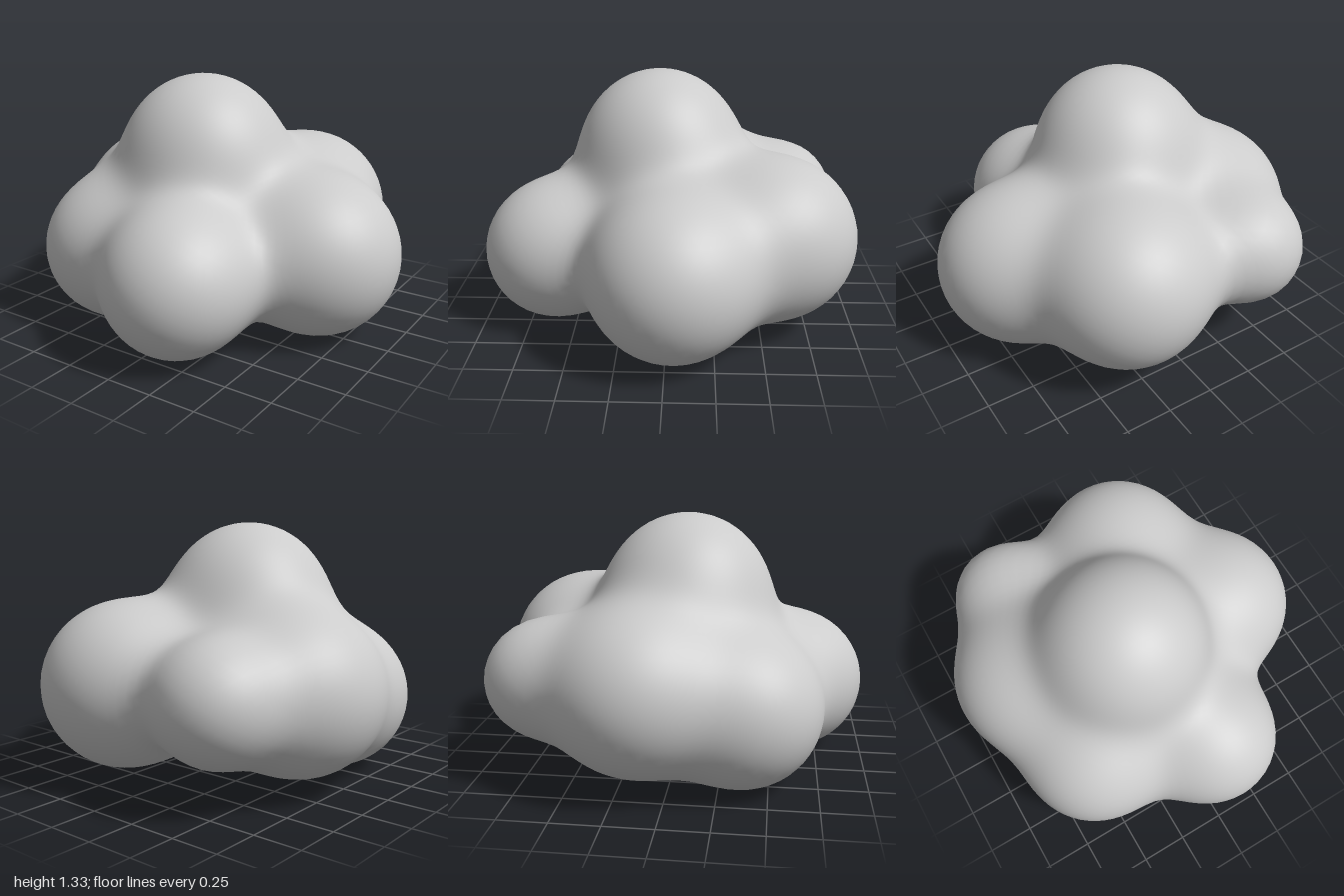
import * as THREE from 'three';
import { mergeVertices } from 'three/addons/utils/BufferGeometryUtils.js';

// Puffs of the cloud: x, y, z, radius
const PUFFS = [
  [-0.10, 0.92, 0.05, 0.42],   // crown
  [0.575, 0.44, -0.035, 0.42], // left side
  [0.13, 0.40, 0.62, 0.37],    // front
  [0.23, 0.52, -0.57, 0.425],  // back
  [-0.46, 0.53, -0.665, 0.28], // back right corner
  [-0.58, 0.515, -0.16, 0.41], // right side
  [-0.47, 0.405, 0.37, 0.38],  // front right corner
  [-0.02, 0.48, 0.02, 0.34],   // core
];
const BLEND = 0.11;
const CENTRE = new THREE.Vector3(-0.02, 0.5, 0);

// Smoothly blended distance to all puffs
function distance(p) {
  let sum = 0;
  for (const [x, y, z, r] of PUFFS) {
    sum += Math.exp((r - Math.hypot(p.x - x, p.y - y, p.z - z)) / BLEND);
  }
  return -BLEND * Math.log(sum);
}

// Shrink a sphere along its rays until it rests on the blended puffs
function cloudGeometry() {
  let geo = new THREE.IcosahedronGeometry(1, 20);
  geo.deleteAttribute('uv');
  geo.deleteAttribute('normal');
  geo = mergeVertices(geo, 1e-4);
  const pos = geo.attributes.position;
  const dir = new THREE.Vector3();
  const p = new THREE.Vector3();
  for (let i = 0; i < pos.count; i++) {
    dir.fromBufferAttribute(pos, i).normalize();
    let t = 1.7;
    for (let k = 0; k < 80; k++) {
      const d = distance(p.copy(CENTRE).addScaledVector(dir, t));
      t -= d;
      if (Math.abs(d) < 1e-4) break;
    }
    p.copy(CENTRE).addScaledVector(dir, t);
    pos.setXYZ(i, p.x, p.y, p.z);
  }
  geo.computeVertexNormals();
  return geo;
}

export function createModel() {
  const group = new THREE.Group();
  group.name = 'cloud';
  const body = new THREE.Mesh(cloudGeometry(), new THREE.MeshStandardMaterial({ color: 0xcccccc }));
  body.name = 'cloudBody';
  group.add(body);
  return group;
}
